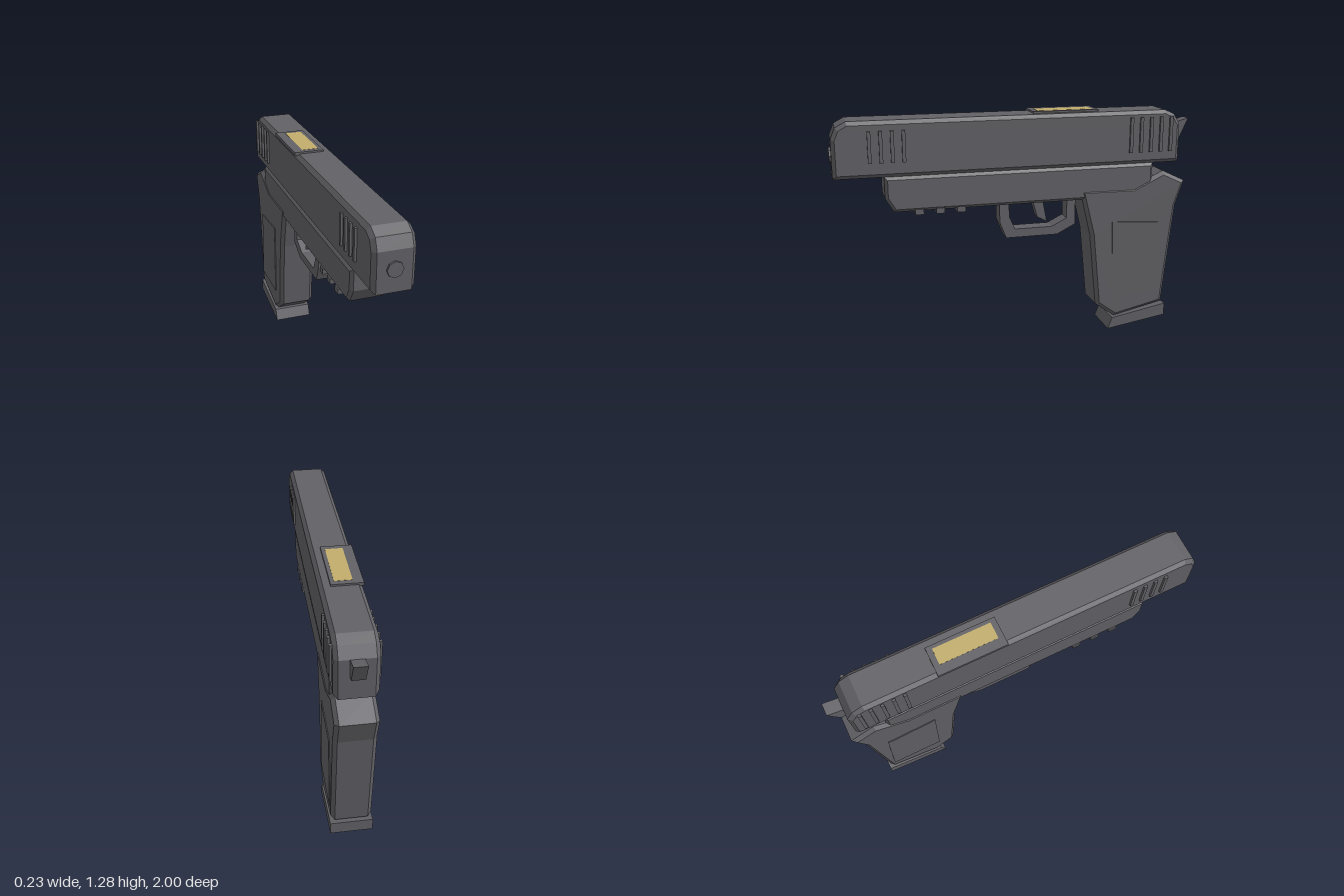
import * as THREE from 'three';

export function createModel() {
  const model = new THREE.Group();
  const gunmetal = new THREE.MeshStandardMaterial({ color: 0x626166 });
  gunmetal.name = 'gunmetal';
  const brass = new THREE.MeshStandardMaterial({ color: 0xc2ad6c });
  brass.name = 'brass';

  const add = (name, geometry, x = 0, y = 0, z = 0, material = gunmetal, parent = model) => {
    const mesh = new THREE.Mesh(geometry, material);
    mesh.name = name;
    mesh.position.set(x, y, z);
    parent.add(mesh);
    return mesh;
  };

  // Side outline given as [z, y], extruded across x with chamfered edges
  const profile = (outline, width, bevel = 0) => {
    const shape = new THREE.Shape(outline.map(([z, y]) => new THREE.Vector2(z, y)));
    const geometry = new THREE.ExtrudeGeometry(shape, {
      depth: width - 2 * bevel,
      bevelEnabled: bevel > 0,
      bevelSegments: 1,
      bevelSize: bevel,
      bevelThickness: bevel,
      bevelOffset: -bevel,
    });
    geometry.translate(0, 0, bevel - width / 2);
    geometry.rotateY(-Math.PI / 2);
    return geometry;
  };

  // Upper slide
  add('slide', profile([
    [0.99, 0.975], [0.99, 1.18], [0.965, 1.24], [0.91, 1.27],
    [-0.83, 1.27], [-0.885, 1.245], [-0.92, 1.19], [-0.92, 0.975],
  ], 0.21, 0.02));

  // Muzzle disc
  const muzzle = new THREE.CylinderGeometry(0.04, 0.04, 0.04, 8).toNonIndexed();
  muzzle.computeVertexNormals();
  muzzle.rotateX(Math.PI / 2);
  add('muzzle', muzzle, 0, 1.09, 0.98);

  // Top plate with brass inlay
  add('topPlate', new THREE.BoxGeometry(0.16, 0.018, 0.37), -0.03, 1.271, -0.265);
  add('brassInlay', new THREE.BoxGeometry(0.09, 0.002, 0.31), -0.015, 1.28, -0.265, brass);

  // Grip ridges on both sides of the slide
  const ridges = new THREE.Group();
  ridges.name = 'slideRidges';
  model.add(ridges);
  const ridgeRow = (name, count, startZ, y, height) => {
    for (const side of [-1, 1]) {
      for (let i = 0; i < count; i++) {
        add(name, new THREE.BoxGeometry(0.02, height, 0.018),
          side * 0.107, y, startZ - i * 0.0585, gunmetal, ridges);
      }
    }
  };
  ridgeRow('frontRidge', 4, 0.8, 1.137, 0.165);
  ridgeRow('rearRidge', 5, -0.626, 1.138, 0.195);

  // Lower frame
  add('frame', profile([
    [0.73, 0.975], [0.73, 0.86], [0.685, 0.785],
    [-0.72, 0.785], [-0.77, 0.87], [-0.77, 0.975],
  ], 0.2, 0.016));

  // Accessory rail bars
  for (let i = 0; i < 3; i++) {
    add('railBar', new THREE.BoxGeometry(0.21, 0.03, 0.046), 0, 0.782, 0.554 - i * 0.1115);
  }

  // Trigger guard and trigger
  add('triggerGuard', profile([
    [0.107, 0.8], [0.107, 0.674], [0.07, 0.583], [-0.225, 0.583], [-0.33, 0.636], [-0.33, 0.8],
    [-0.28, 0.8], [-0.28, 0.674], [-0.193, 0.631], [0.02, 0.631], [0.053, 0.706], [0.053, 0.8],
  ], 0.086));
  add('trigger', profile([
    [-0.08, 0.8], [-0.14, 0.8], [-0.168, 0.658], [-0.112, 0.688],
  ], 0.056));

  // Handle
  add('handle', profile([
    [-0.342, 0.842], [-0.655, 0.842], [-0.834, 0.925], [-0.968, 0.862], [-0.92, 0.72],
    [-0.861, 0.134], [-0.567, 0.07], [-0.45, 0.155], [-0.406, 0.578],
  ], 0.21, 0.02));

  // Raised panels on both sides of the handle
  const panel = profile([[-0.53, 0.65], [-0.81, 0.63], [-0.835, 0.21], [-0.545, 0.21]], 0.008);
  for (const side of [-1, 1]) add('handlePanel', panel, side * 0.106);

  // Base plate under the handle
  add('basePlate', profile([
    [-0.55, 0.066], [-0.877, 0.124], [-0.877, 0.053], [-0.524, 0],
  ], 0.22));

  // Hammer
  add('hammer', profile([
    [-0.9, 1.185], [-1, 1.21], [-0.95, 1.1], [-0.9, 1.1],
  ], 0.066));

  return model;
}
